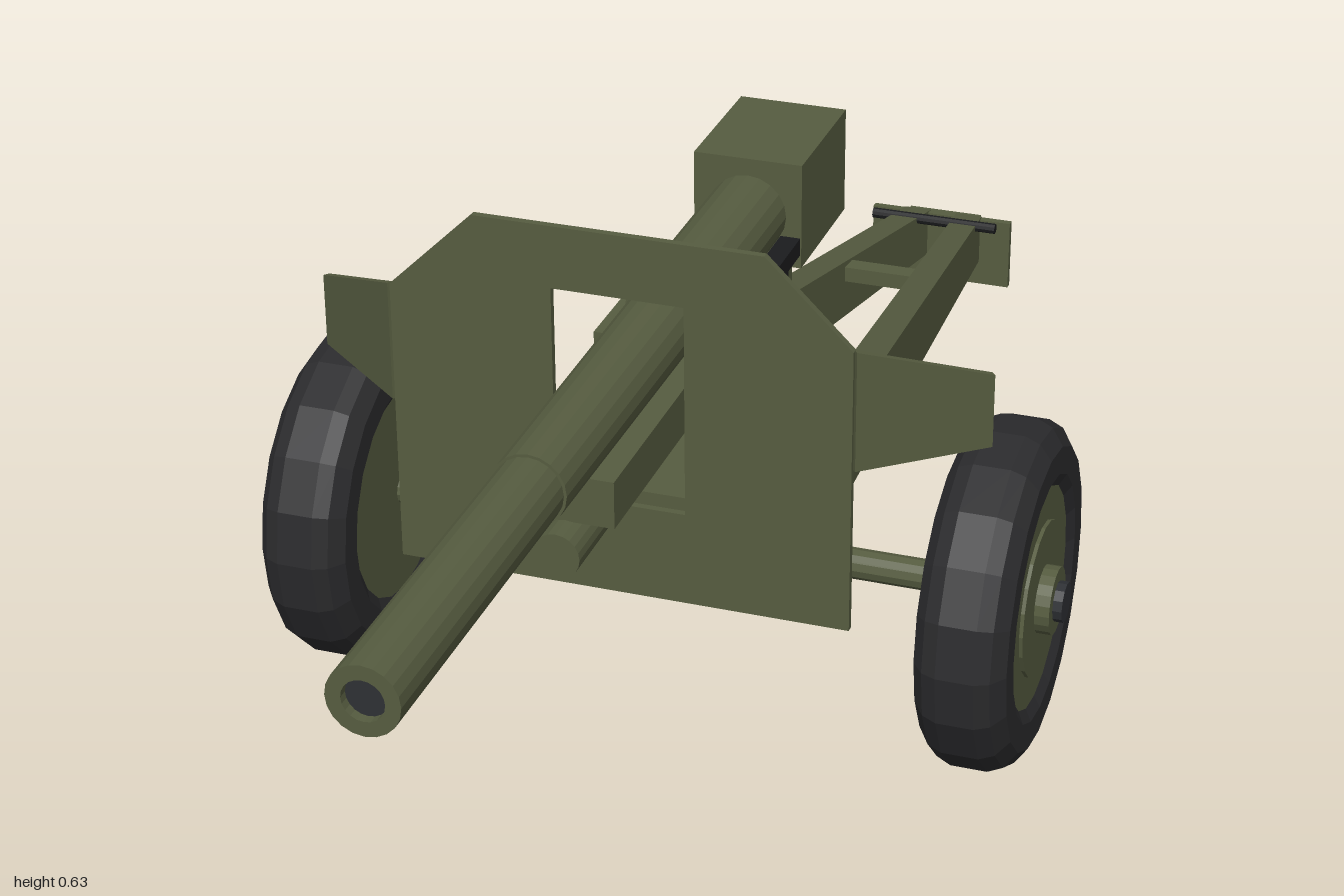
import * as THREE from 'three';

export function createModel() {
  const model = new THREE.Group();
  const mat = (name, color, side) => {
    const m = new THREE.MeshStandardMaterial({ color });
    m.name = name;
    if (side) m.side = side;
    return m;
  };
  const green = mat('olive paint', 0x565c40);
  const rubber = mat('tyre rubber', 0x2b2b2d);
  const black = mat('black steel', 0x1b1c1e);
  const steel = mat('dark steel', 0x2e3034, THREE.DoubleSide);

  // Helpers
  const flat = (g) => {
    const n = g.index ? g.toNonIndexed() : g;
    n.computeVertexNormals();
    return n;
  };
  const add = (name, geo, material, x = 0, y = 0, z = 0, parent = model) => {
    const mesh = new THREE.Mesh(geo, material);
    mesh.name = name;
    mesh.position.set(x, y, z);
    parent.add(mesh);
    return mesh;
  };
  // Box given by its limits on each axis
  const box = (name, m, [x0, x1], [y0, y1], [z0, z1]) =>
    add(name, new THREE.BoxGeometry(x1 - x0, y1 - y0, z1 - z0), m,
      (x0 + x1) / 2, (y0 + y1) / 2, (z0 + z1) / 2);
  const cylX = (r, len, n = 20) => flat(new THREE.CylinderGeometry(r, r, len, n).rotateZ(-Math.PI / 2));
  const cylZ = (r, len, n = 20) => flat(new THREE.CylinderGeometry(r, r, len, n).rotateX(Math.PI / 2));
  const lathe = (pts, n) => new THREE.LatheGeometry(pts.map(([r, h]) => new THREE.Vector2(r, h)), n);
  const plate = (pts, depth, hole) => {
    const toV = (p) => p.map(([x, y]) => new THREE.Vector2(x, y));
    const s = new THREE.Shape(toV(pts));
    if (hole) s.holes.push(new THREE.Path(toV(hole)));
    return new THREE.ExtrudeGeometry(s, { depth, bevelEnabled: false }).translate(0, 0, -depth / 2);
  };

  // Barrel with stepped sleeves and a hollow muzzle
  const axisY = 0.473;
  add('barrel', flat(lathe([
    [0.045, -0.07], [0.045, 0.22], [0.041, 0.22], [0.039, 0.61], [0.036, 0.61],
    [0.036, 1], [0.021, 1], [0.021, 0.985],
  ], 20).rotateX(Math.PI / 2)), green, 0, axisY, 0);
  add('bore', new THREE.CircleGeometry(0.021, 20), steel, 0, axisY, 0.99);

  // Breech block and its door
  box('breech', green, [-0.063, 0.063], [0.413, 0.538], [-0.228, -0.06]);
  box('breechDoor', steel, [-0.034, 0.034], [0.44, 0.508], [-0.235, -0.227]);

  // Cradle and recoil cylinder
  box('cradle', green, [-0.051, 0.051], [0.388, 0.44], [-0.065, 0.515]);
  add('recoilCylinder', cylZ(0.025, 0.585), green, 0, 0.364, 0.2525);

  // Trunnion cheeks standing on the carriage body
  for (const s of [-1, 1]) {
    box('cheek', green, [s * 0.065 - 0.007, s * 0.065 + 0.007], [0.28, 0.455], [0.02, 0.24]);
  }
  add('trunnion', cylX(0.016, 0.16, 16), steel, 0, 0.417, 0.145);

  // Sight
  box('sightPost', black, [0.072, 0.1], [0.435, 0.5], [0.105, 0.147]);
  box('sightHead', black, [0.084, 0.106], [0.5, 0.52], [0.084, 0.168]);

  // Elevating handwheel
  add('handwheel', new THREE.TorusGeometry(0.032, 0.005, 8, 20).rotateY(Math.PI / 2), black, 0.097, 0.353, 0.035);
  add('handwheelShaft', cylX(0.007, 0.04, 10), black, 0.083, 0.353, 0.035);
  box('handwheelSpoke', black, [0.094, 0.1], [0.349, 0.357], [0.005, 0.065]);

  // Shield with gun opening and swept-back wings
  add('shield', plate(
    [[-0.248, 0.22], [0.248, 0.22], [0.248, 0.54], [0.155, 0.631], [-0.155, 0.631], [-0.248, 0.54]],
    0.008,
    [[-0.071, 0.325], [-0.071, 0.562], [0.071, 0.562], [0.071, 0.325]],
  ), green, 0, 0, 0.358);
  for (const s of [-1, 1]) {
    const wing = plate([[0, 0.406], [s * 0.151, 0.406], [s * 0.151, 0.488], [0, 0.54]], 0.007);
    add('shieldWing', wing.rotateY(s * 0.68), green, s * 0.249, 0, 0.358);
  }

  // Carriage body and axle
  box('carriageBody', green, [-0.147, 0.147], [0.18, 0.287], [0.08, 0.265]);
  add('axle', cylX(0.017, 0.72, 12), green, 0, 0.195, 0.187);

  // Wheels: tyre, rim and hub, built facing +x
  const tyre = flat(lathe([
    [0.118, -0.04], [0.135, -0.049], [0.165, -0.049], [0.183, -0.036], [0.19, -0.02],
    [0.19, 0.02], [0.183, 0.036], [0.165, 0.049], [0.135, 0.049], [0.118, 0.04],
  ], 20).rotateZ(-Math.PI / 2));
  for (const s of [-1, 1]) {
    const wheel = new THREE.Group();
    wheel.name = 'wheel';
    wheel.position.set(s * 0.366, 0.195, 0.195);
    if (s < 0) wheel.rotation.y = Math.PI;
    model.add(wheel);
    add('tyre', tyre, rubber, 0, 0, 0, wheel);
    add('rim', cylX(0.124, 0.084), green, 0, 0, 0, wheel);
    add('rimDisc', cylX(0.085, 0.012), green, 0.04, 0, 0, wheel);
    add('hub', cylX(0.037, 0.02), green, 0.052, 0, 0, wheel);
    add('hubCap', cylX(0.022, 0.014, 12), steel, 0.065, 0, 0, wheel);
  }

  // Tapered trail legs converging to the rear
  for (const s of [-1, 1]) {
    const g = new THREE.BoxGeometry(1, 1, 1);
    const p = g.attributes.position;
    for (let i = 0; i < p.count; i++) {
      const front = p.getZ(i) > 0, outer = p.getX(i) * s > 0, top = p.getY(i) > 0;
      const x = front ? (outer ? 0.146 : 0.105) : (outer ? 0.054 : 0.018);
      const y = front ? (top ? 0.291 : 0.18) : (top ? 0.096 : 0.032);
      p.setXYZ(i, s * x, y, front ? 0.085 : -0.93);
    }
    add('trailLeg', flat(g), green);
  }
  box('frontCrossbar', green, [-0.09, 0.09], [0.185, 0.21], [-0.262, -0.236]);
  box('rearCrossbar', green, [-0.055, 0.055], [0.13, 0.15], [-0.632, -0.607]);

  // Trail end: spade, hitch block, lifting bar and towing ring
  box('spade', green, [-0.097, 0.097], [0, 0.096], [-0.928, -0.918]);
  box('hitchBlock', green, [-0.05, 0.05], [0.032, 0.092], [-0.943, -0.925]);
  add('liftingBar', cylX(0.007, 0.172, 10), black, 0, 0.104, -0.88);
  for (const s of [-1, 1]) {
    box('barBracket', black, [s * 0.036 - 0.005, s * 0.036 + 0.005], [0.08, 0.104], [-0.885, -0.875]);
  }
  add('towingRing', new THREE.TorusGeometry(0.023, 0.0065, 8, 20).rotateX(Math.PI / 2), black, 0, 0.06, -0.969);

  return model;
}
